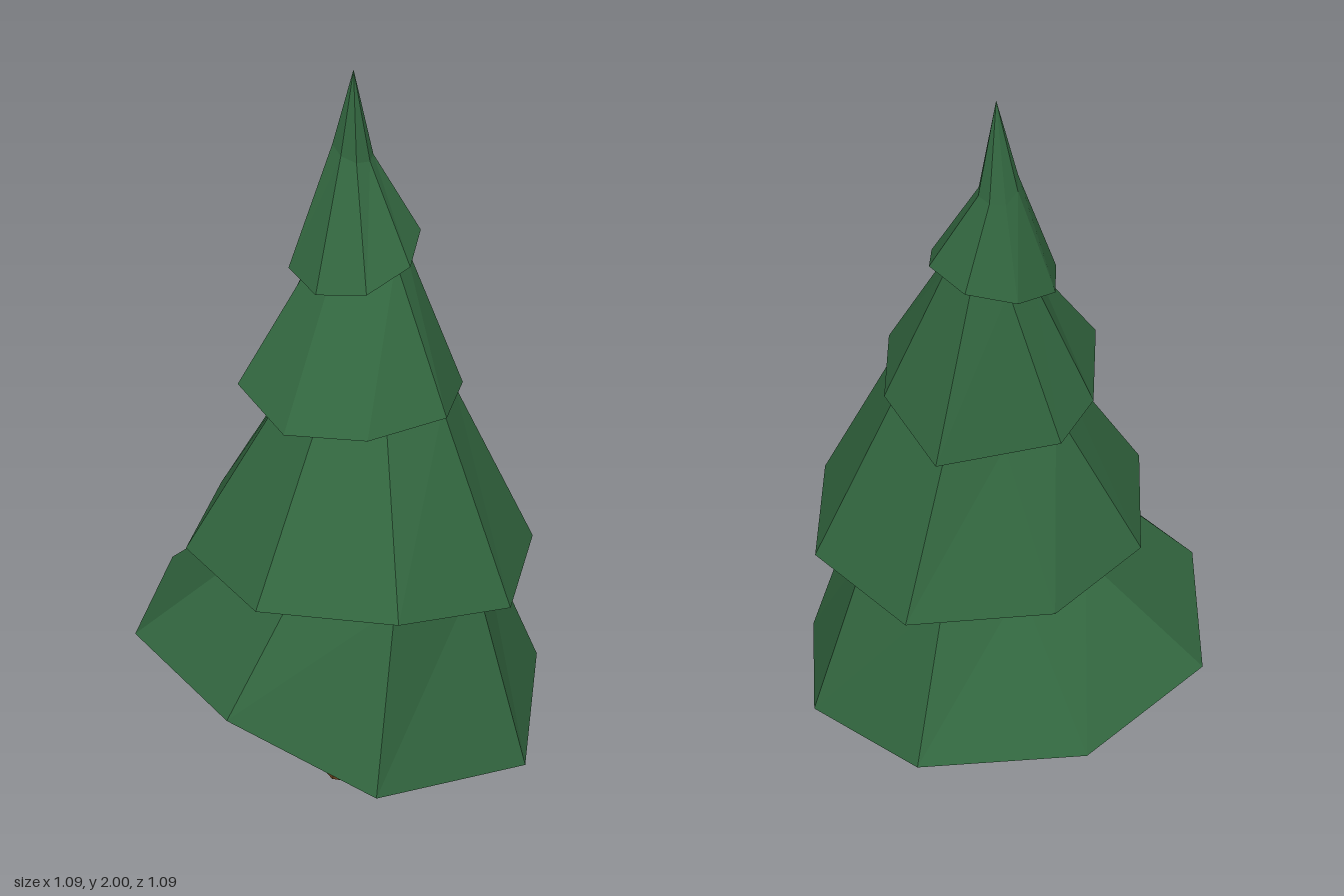
import * as THREE from 'three';

const SIDES = 8;

// Octagonal ring; corners run front, front-left (+x), left ... back round to the front.
// nudge shifts single corners: { corner: [dx, dz] }
function ring(cx, cz, r, heights, nudge = {}) {
  return Array.from({ length: SIDES }, (_, k) => {
    const a = (k / SIDES) * Math.PI * 2;
    const y = Array.isArray(heights) ? heights[k] : heights;
    const [dx, dz] = nudge[k] || [0, 0];
    return [cx + Math.sin(a) * r + dx, y, cz + Math.cos(a) * r + dz];
  });
}

// Faceted skin over a stack of rings, closed at the bottom and ended in a tip
function loft(rings, tip) {
  const pos = [];
  const tri = (a, b, c) => pos.push(...a, ...b, ...c);
  const base = rings[0];
  const last = rings[rings.length - 1];
  for (let k = 1; k + 1 < SIDES; k++) tri(base[0], base[k + 1], base[k]);
  for (let k = 0; k < SIDES; k++) {
    const n = (k + 1) % SIDES;
    for (let j = 0; j + 1 < rings.length; j++) {
      const lo = rings[j], hi = rings[j + 1];
      tri(lo[k], lo[n], hi[n]);
      tri(lo[k], hi[n], hi[k]);
    }
    tri(last[k], last[n], tip);
  }
  const g = new THREE.BufferGeometry();
  g.setAttribute('position', new THREE.Float32BufferAttribute(pos, 3));
  g.computeVertexNormals();
  return g;
}

function part(name, geometry, color) {
  const mesh = new THREE.Mesh(geometry, new THREE.MeshStandardMaterial({ color, flatShading: true }));
  mesh.name = name;
  return mesh;
}

export function createModel() {
  const tree = new THREE.Group();
  tree.name = 'pineTree';

  // Leaning trunk, running up into the foliage
  tree.add(part('trunk', loft([
    ring(0.024, 0.078, 0.099, 0),
    ring(0.068, 0.08, 0.07, 0.22),
    ring(0.08, 0.08, 0.065, 0.36),
  ], [0.08, 0.4, 0.08]), 0x5c3a18));

  // Four tilted skirts: a wide lower edge, then a narrow neck tucked under the next
  tree.add(part('foliage', loft([
    ring(0, 0, 0.543, [0.265, 0.18, 0.235, 0.315, 0.36, 0.4, 0.445, 0.437],
      { 1: [0.04, 0], 3: [0.005, 0], 4: [-0.01, 0], 5: [-0.017, 0], 7: [0.03, 0] }),
    ring(0.05, 0.08, 0.315, [0.745, 0.71, 0.69, 0.69, 0.69, 0.7, 0.72, 0.742],
      { 0: [0.02, 0], 1: [0.03, -0.045], 2: [0, -0.035], 3: [-0.025, -0.065], 5: [0.03, -0.055] }),
    ring(0.043, 0.077, 0.452, [0.795, 0.71, 0.69, 0.67, 0.705, 0.73, 0.76, 0.78],
      { 0: [0.01, 0], 4: [-0.03, 0] }),
    ring(0.07, 0.04, 0.215, [1.2, 1.185, 1.15, 1.085, 1.1, 1.14, 1.18, 1.2],
      { 3: [0, -0.04], 5: [0, -0.02] }),
    ring(0.02, 0.05, 0.283, [1.205, 1.195, 1.165, 1.08, 1.12, 1.17, 1.22, 1.19],
      { 0: [-0.01, 0], 3: [0.025, -0.01], 4: [-0.075, 0], 5: [0.01, -0.01] }),
    ring(0.045, -0.02, 0.115, [1.5, 1.535, 1.55, 1.54, 1.53, 1.51, 1.5, 1.49]),
    ring(0.04, -0.02, 0.163, [1.495, 1.535, 1.57, 1.55, 1.525, 1.5, 1.495, 1.48]),
    ring(0.042, -0.06, 0.05, [1.77, 1.765, 1.765, 1.76, 1.755, 1.78, 1.8, 1.785]),
  ], [0.04, 2, -0.043]), 0x32663f));

  return tree;
}
